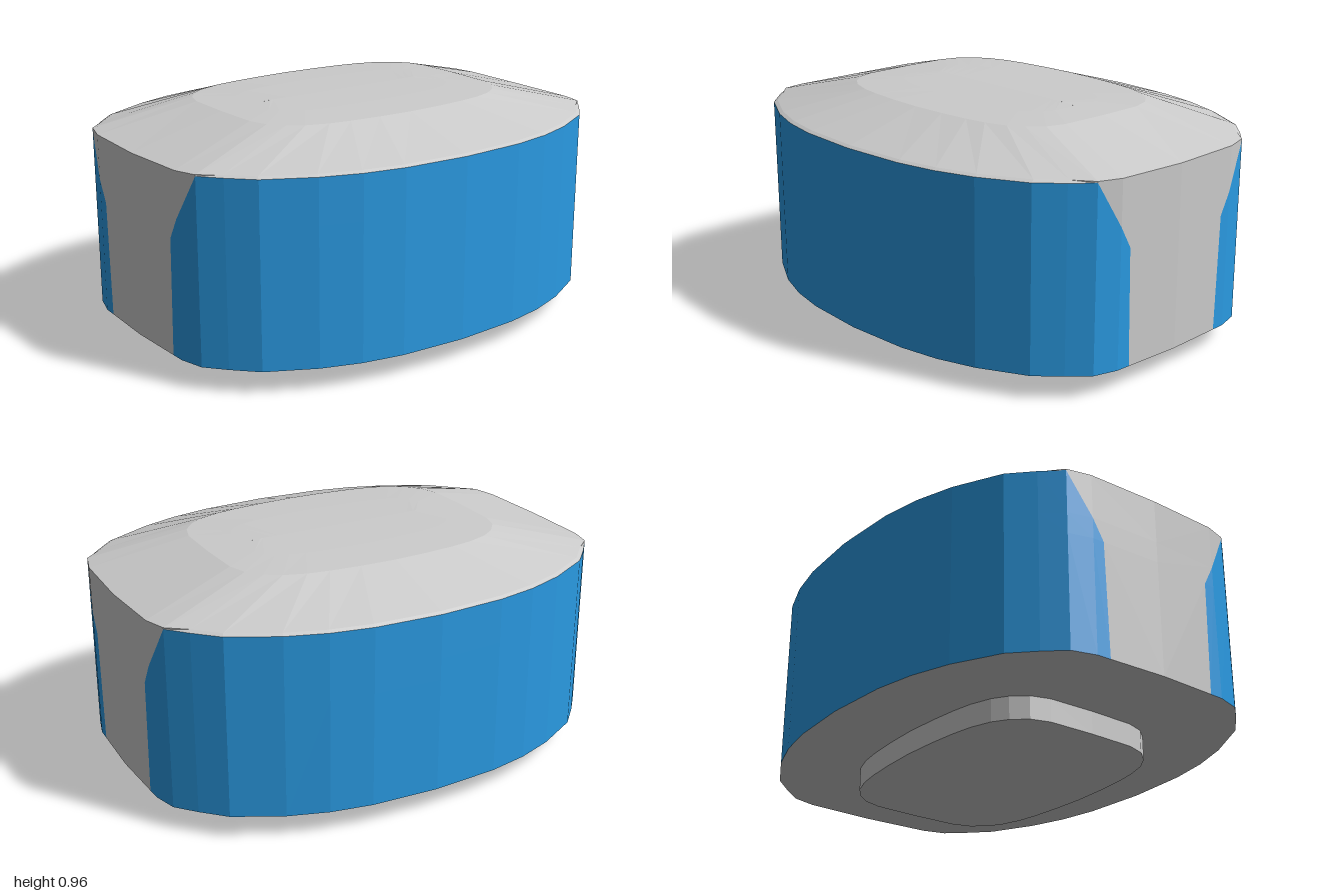
import * as THREE from 'three';

// Quarter outlines from the front middle round to the side, as [x, z]
const OUTER = [[0, 1], [0.31, 0.988], [0.41, 0.96], [0.49, 0.89], [0.58, 0.8], [0.68, 0.61], [0.735, 0.45], [0.768, 0.28], [0.785, 0]];
const INNER = [[0, 0.6], [0.2, 0.595], [0.28, 0.57], [0.34, 0.52], [0.38, 0.46], [0.41, 0.37], [0.425, 0.28], [0.437, 0.15], [0.443, 0]];
const BASE = 0.095, RIM = 0.84, KNEE = 0.57;

const grey = new THREE.MeshStandardMaterial({ color: 0xcccccc, flatShading: true });
const blue = new THREE.MeshStandardMaterial({ color: 0x2a9ae2, flatShading: true });

// A quarter outline, scaled, at height y
const ring = (outline, y, sx = 1, sz = sx) => outline.map(([x, z]) => new THREE.Vector3(x * sx, y, z * sz));

// Skin between successive quarter rings, mirrored into the chosen quarters
function skin(name, rings, material, signs = [[1, 1], [-1, 1], [1, -1], [-1, -1]]) {
  const positions = [];
  const tri = new THREE.Triangle();
  for (const [sx, sz] of signs) {
    const add = (a, b, c) => {
      if (tri.set(a, b, c).getArea() < 1e-8) return;
      const corners = sx * sz > 0 ? [a, b, c] : [a, c, b];
      for (const p of corners) positions.push(p.x * sx, p.y, p.z * sz);
    };
    for (let j = 0; j < rings.length - 1; j++) {
      for (let i = 0; i < rings[j].length - 1; i++) {
        const a = rings[j][i], b = rings[j][i + 1];
        const c = rings[j + 1][i + 1], d = rings[j + 1][i];
        add(a, b, c);
        add(a, c, d);
      }
    }
  }
  const geometry = new THREE.BufferGeometry();
  geometry.setAttribute('position', new THREE.Float32BufferAttribute(positions, 3));
  geometry.computeVertexNormals();
  const mesh = new THREE.Mesh(geometry, material);
  mesh.name = name;
  return mesh;
}

// Point on the outer wall at a given x
function wallPoint(x, y) {
  const i = Math.max(1, OUTER.findIndex((p) => p[0] >= x - 1e-9));
  const [x0, z0] = OUTER[i - 1], [x1, z1] = OUTER[i];
  return new THREE.Vector3(x, y, z0 + (z1 - z0) * (x - x0) / (x1 - x0));
}

export function createModel() {
  const model = new THREE.Group();
  model.name = 'roundedCase';

  // Foot and flat underside
  model.add(skin('foot', [ring(INNER, 0, 0), ring(INNER, 0), ring(INNER, BASE)], grey));
  model.add(skin('underside', [ring(INNER, BASE), ring(OUTER, BASE)], grey));

  // Wall rows: height and half width of the end panel, which flares above the knee
  const flare = KNEE + (RIM - KNEE) * (0.31 - 0.262) / (0.41 - 0.262);
  const rows = [[BASE, 0.25], [KNEE, 0.262], [flare, 0.31], [RIM, 0.41]];
  const wall = (pick) => rows.map(([y, half]) => OUTER.map(([x]) => wallPoint(pick(x, half), y)));
  const endRings = wall(Math.min), sideRings = wall(Math.max);
  model.add(skin('frontPanel', endRings, grey, [[1, 1], [-1, 1]]));
  model.add(skin('backPanel', endRings, grey, [[1, -1], [-1, -1]]));
  model.add(skin('leftSideShell', sideRings, blue, [[1, 1], [1, -1]]));
  model.add(skin('rightSideShell', sideRings, blue, [[-1, 1], [-1, -1]]));

  // Lid: small bevel along the sides, long slope, shallow crown ending in a ridge
  const bevel = OUTER.map(([x, z], i) => (i < 3
    ? new THREE.Vector3(x, RIM + 0.003 * i, z)
    : new THREE.Vector3(x - 0.015, RIM + 0.008, z * 0.992)));
  model.add(skin('lid', [ring(OUTER, RIM), bevel, ring(INNER, 0.945)], grey));
  model.add(skin('crown', [
    ring(INNER, 0.945), ring(INNER, 0.953, 0.55, 0.75), ring(INNER, 0.957, 0, 0.62),
  ], grey));
  return model;
}
